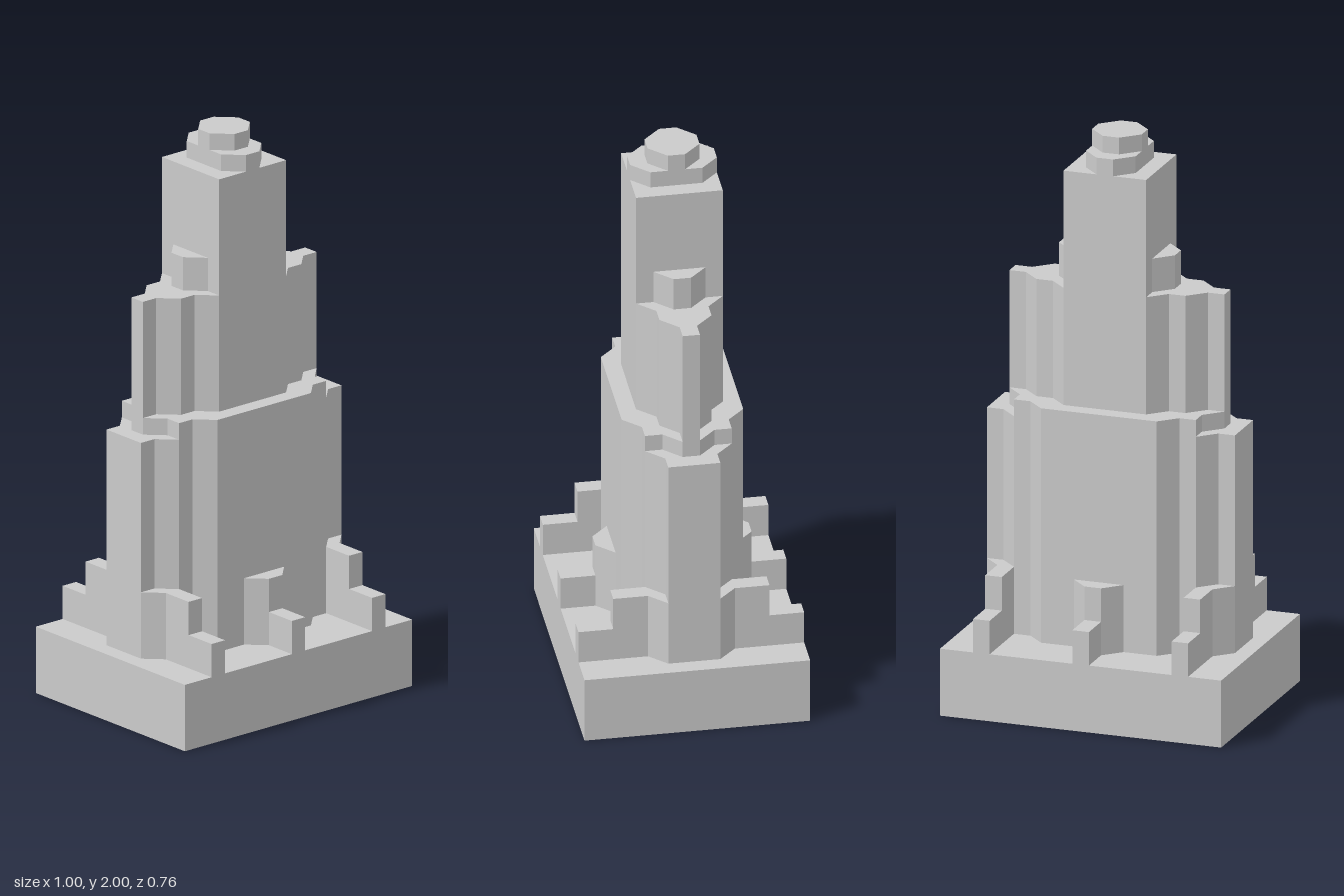
import * as THREE from 'three';

// Plan grid: one step is 1/34 unit. Heights: one storey is 1/17 unit.
const PLAN = 1 / 34, STOREY = 1 / 17;
const HALF_X = 17, HALF_Z = 13;

// Tiers from the top down. Each plan is a union of chamfered boxes, symmetric
// about both axes: half width, half depth, limit of |x| + |z|, least |x|.
const tiers = [
  { name: 'crown', height: 34, boxes: [[3, 3, 4]] },
  { name: 'crownStep', height: 33, boxes: [[3, 5, 6]] },
  { name: 'upperTower', height: 32, boxes: [[5, 5, 10]] },
  { name: 'upperSideBays', height: 27, boxes: [[7, 3, 8]] },
  { name: 'middleWings', height: 25, boxes: [[13, 1, 14], [11, 3, 12], [7, 5, 10]] },
  { name: 'mainBlock', height: 18, boxes: [[13, 3, 14], [11, 5, 16], [9, 7, 14]] },
  { name: 'endWings', height: 17, boxes: [[15, 3, 18], [13, 5, 16]] },
  { name: 'highButtresses', height: 8, boxes: [[15, 5, 18], [13, 9, 22, 11], [3, 9, 10]] },
  { name: 'lowButtresses', height: 6, boxes: [[13, 13, 26, 11], [1, 13, 14]] },
  { name: 'base', height: 4, boxes: [[HALF_X, HALF_Z, 30]] },
];

// Highest tier that covers a plan point
function tierAt({ x, y }) {
  const ax = Math.abs(x), az = Math.abs(y);
  return tiers.find((tier) => tier.boxes.some(([w, d, sum, least = 0]) =>
    ax < w && az < d && ax + az < sum && ax >= least));
}

// Roof triangle, and a wall wherever the ground or a lower tier adjoins it
function addColumn(positions, height, corners) {
  const put = (p, y) => positions.push(p.x * PLAN, y * STOREY, p.y * PLAN);
  const [a, b, c] = corners;
  put(a, height); put(c, height); put(b, height);

  corners.forEach((p, i) => {
    const q = corners[(i + 1) % 3];
    const outside = new THREE.Vector2(q.y - p.y, p.x - q.x).setLength(0.05);
    outside.add(p.clone().lerp(q, 0.5));
    const low = tierAt(outside)?.height ?? 0;
    if (low >= height) return;
    put(p, low); put(p, height); put(q, height);
    put(p, low); put(q, height); put(q, low);
  });
}

export function createModel() {
  const group = new THREE.Group();
  group.name = 'steppedTower';
  const surfaces = new Map(tiers.map((tier) => [tier, []]));

  // Each square of the plan is cut along both diagonals into four columns
  for (let x = 1 - HALF_X; x < HALF_X; x += 2) {
    for (let z = 1 - HALF_Z; z < HALF_Z; z += 2) {
      const centre = new THREE.Vector2(x, z);
      const square = [[-1, -1], [1, -1], [1, 1], [-1, 1]]
        .map(([dx, dz]) => new THREE.Vector2(x + dx, z + dz));
      square.forEach((p, i) => {
        const q = square[(i + 1) % 4];
        const tier = tierAt(p.clone().add(q).add(centre).divideScalar(3));
        addColumn(surfaces.get(tier), tier.height, [p, q, centre]);
      });
    }
  }

  // The tower is a hollow shell, open underneath
  const material = new THREE.MeshStandardMaterial({
    color: 0xcccccc, flatShading: true, side: THREE.DoubleSide,
  });
  for (const [tier, positions] of surfaces) {
    const geometry = new THREE.BufferGeometry();
    geometry.setAttribute('position', new THREE.Float32BufferAttribute(positions, 3));
    geometry.computeVertexNormals();
    const mesh = new THREE.Mesh(geometry, material);
    mesh.name = tier.name;
    group.add(mesh);
  }
  return group;
}
